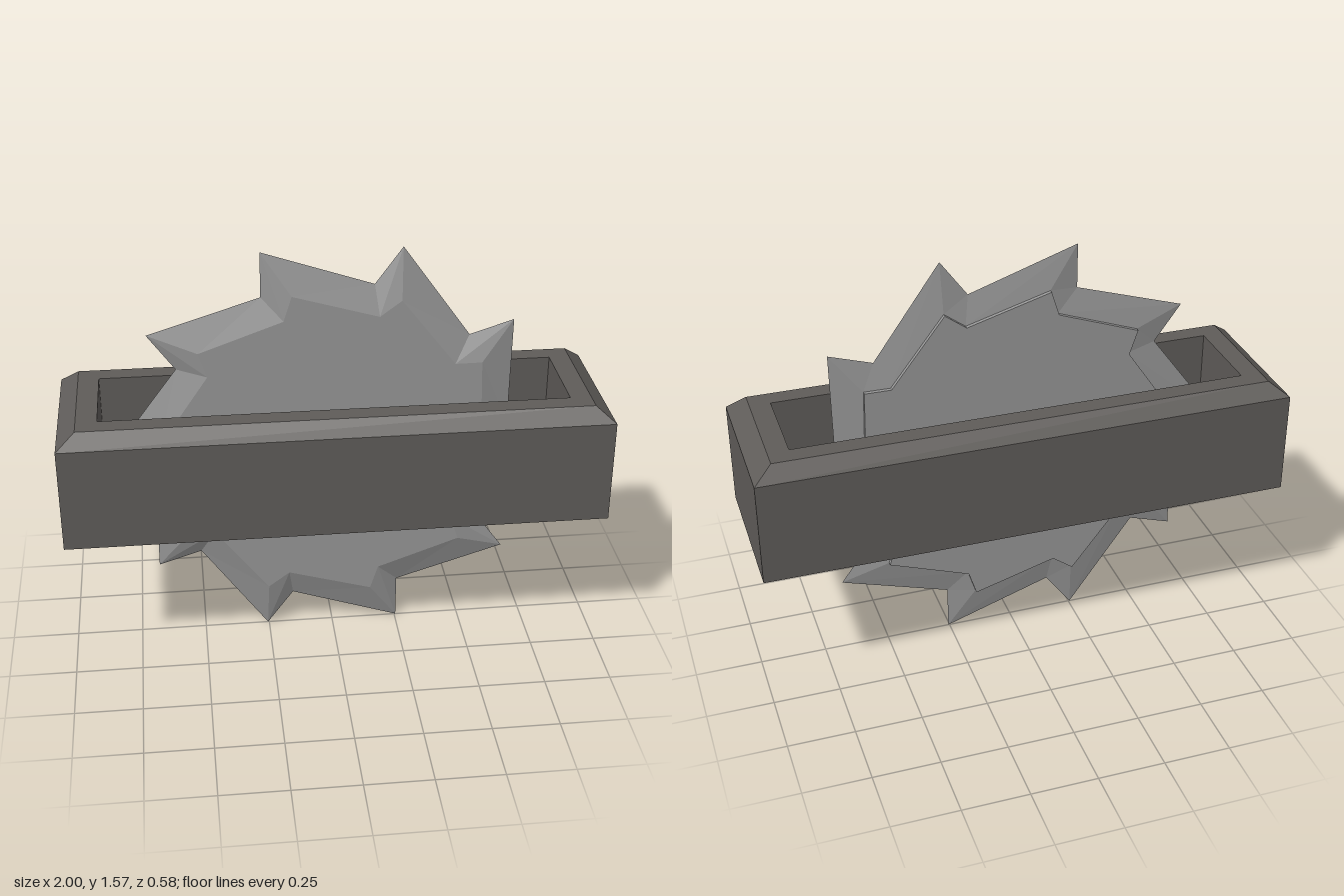
import * as THREE from 'three';

const blade = new THREE.MeshStandardMaterial({ color: 0x969696 });
blade.name = 'bladeSteel';
const housing = new THREE.MeshStandardMaterial({ color: 0x5f5c59 });
housing.name = 'darkHousing';

// Joins closed rings of points (counter-clockwise about +z) and caps both ends.
function loft(rings) {
  const pos = [];
  const tri = (...pts) => pts.forEach((p) => pos.push(...p));
  const n = rings[0].length;
  const first = rings[0];
  const last = rings[rings.length - 1];
  for (let i = 0; i < n; i++) {
    const j = (i + 1) % n;
    for (let r = 0; r < rings.length - 1; r++) {
      const a = rings[r], b = rings[r + 1];
      tri(a[i], a[j], b[j]);
      tri(a[i], b[j], b[i]);
    }
    tri([0, 0, first[0][2]], first[j], first[i]);
    tri([0, 0, last[0][2]], last[i], last[j]);
  }
  const geo = new THREE.BufferGeometry();
  geo.setAttribute('position', new THREE.Float32BufferAttribute(pos, 3));
  geo.computeVertexNormals();
  return geo;
}

const TEETH = 10;

// Saw-tooth ring: one tip and one valley per tooth, angles in degrees.
function toothRing(tipR, tipA, valleyR, valleyA, z) {
  const ring = [];
  for (let k = 0; k < TEETH; k++) {
    for (const [r, a] of [[tipR, tipA], [valleyR, valleyA]]) {
      const t = THREE.MathUtils.degToRad((k * 360) / TEETH + a);
      ring.push([r * Math.cos(t), r * Math.sin(t), z]);
    }
  }
  return ring;
}

const rectRing = (x, y, z) => [[x, -y, z], [x, y, z], [-x, y, z], [-x, -y, z]];

export function createModel() {
  const group = new THREE.Group();
  group.name = 'sawTrap';

  // Blade: sharp outer edge, bevelled to a flat face on each side
  const inner = (z) => toothRing(0.643, -4.8, 0.56, 0.4, z);
  const saw = new THREE.Mesh(
    loft([inner(-0.035), inner(-0.02), toothRing(0.825, 0, 0.665, 4.6, 0), inner(0.036)]),
    blade
  );
  saw.name = 'sawBlade';
  saw.position.y = 0.79;
  group.add(saw);

  // Housing: block with a chamfered rim and a recessed slot
  const geo = loft([
    rectRing(1, 0.29, 0.58),
    rectRing(1, 0.29, 0.975),
    rectRing(0.93, 0.242, 1.03),
    rectRing(0.853, 0.17, 1.03),
    rectRing(0.853, 0.17, 0.6),
  ]);
  geo.rotateX(-Math.PI / 2);
  const box = new THREE.Mesh(geo, housing);
  box.name = 'housing';
  group.add(box);

  return group;
}
